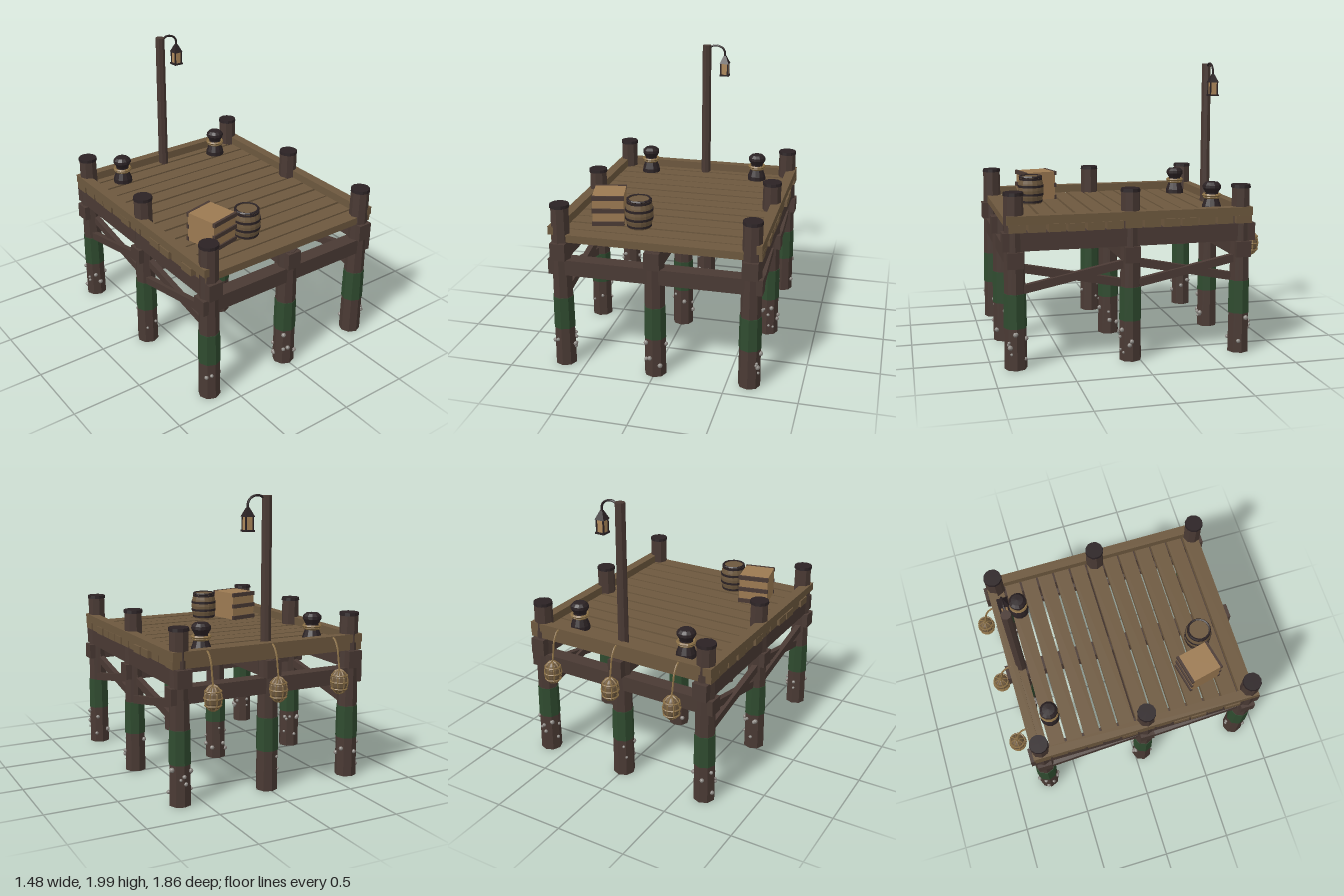
import * as THREE from 'three';

const mat = (name, color) => {
  const m = new THREE.MeshStandardMaterial({ color });
  m.name = name;
  return m;
};

export function createModel() {
  const root = new THREE.Group();
  root.name = 'dock';

  const postWood = mat('dark post wood', 0x4a3a34);
  const plankWood = mat('weathered plank wood', 0x6d583e);
  const crateWood = mat('pale crate wood', 0x9c7a52);
  const iron = mat('dark iron', 0x2b2224);
  const algae = mat('green algae', 0x2f4b2f);
  const rope = mat('tan rope', 0x8a6f45);
  const shell = mat('barnacle grey', 0x8b8782);
  const glass = mat('lantern glow', 0xb08a5c);

  let seed = 7;
  const rand = () => ((seed = (seed * 16807) % 2147483647) / 2147483647);
  const jitter = (a) => (rand() * 2 - 1) * a;

  // Adds a faceted mesh
  const add = (name, geo, material, x = 0, y = 0, z = 0, parent = root) => {
    const g = geo.index ? geo.toNonIndexed() : geo;
    g.computeVertexNormals();
    const m = new THREE.Mesh(g, material);
    m.name = name;
    m.position.set(x, y, z);
    parent.add(m);
    return m;
  };
  const group = (name, x, y, z, parent = root) => {
    const g = new THREE.Group();
    g.name = name;
    g.position.set(x, y, z);
    parent.add(g);
    return g;
  };
  const box = (w, h, d) => new THREE.BoxGeometry(w, h, d);
  const cyl = (rt, rb, h, n = 8) => new THREE.CylinderGeometry(rt, rb, h, n);
  const lathe = (pts, n) => new THREE.LatheGeometry(pts.map((p) => new THREE.Vector2(...p)), n);
  const ring = (r, t, n = 14) => new THREE.TorusGeometry(r, t, 5, n).rotateX(Math.PI / 2);
  const tube = (pts, r) => new THREE.TubeGeometry(
    new THREE.CatmullRomCurve3(pts.map((p) => new THREE.Vector3(...p))), 14, r, 6);

  const columns = [-0.65, 0, 0.65];
  const rows = [-0.72, 0.06, 0.84];
  const bottomR = 0.076;

  // Posts with algae bands, barnacles and caps
  for (const x of columns) for (const z of rows) {
    const post = group('post', x, 0, z);
    const h = x === 0 ? 0.915 : 1.16;
    const topR = x === 0 ? 0.067 : 0.064;
    add('postShaft', cyl(topR, bottomR, h), postWood, 0, h / 2, 0, post);
    add('algaeBand', cyl(0.074, 0.077, 0.23), algae, 0, 0.395, 0, post);
    if (x !== 0) add('postCap', cyl(0.066, 0.068, 0.022, 12), iron, 0, 1.163, 0, post);
    for (let i = 0; i < 9; i++) {
      const a = rand() * Math.PI * 2;
      const s = 0.009 + rand() * 0.009;
      add('barnacle', new THREE.IcosahedronGeometry(s, 1), shell,
        Math.sin(a) * 0.074, 0.06 + rand() * 0.19, Math.cos(a) * 0.074, post);
    }
  }

  // Long beams under the deck and cross beams below them
  for (const x of columns) add('longBeam', box(0.105, 0.12, 1.73), postWood, x, 0.852, 0.055);
  for (const z of rows) add('crossBeam', box(1.46, 0.108, 0.105), postWood, 0, 0.735, z);

  // Diagonal braces on both sides
  for (const x of [-0.65, 0.65]) for (const z of [-0.33, 0.45]) for (const s of [-1, 1]) {
    const brace = add('brace', box(0.04, 0.055, 0.78), postWood, x + s * 0.012, 0.6, z);
    brace.rotation.x = s * 0.198;
  }

  // Deck planks
  for (let i = 0; i < 13; i++) {
    const plank = add('plank', box(1.435 + jitter(0.015), 0.053, 0.112), plankWood,
      jitter(0.012), 0.941 + jitter(0.002), -0.721 + i * 0.1288);
    plank.rotation.y = jitter(0.002);
  }

  // Edge rails on the sides and back
  for (const x of [-0.685, 0.685]) add('sideRail', box(0.07, 0.058, 1.675), plankWood, x, 0.996, 0.055);
  add('backRail', box(1.32, 0.058, 0.065), plankWood, 0, 0.996, -0.75);

  // Lamp post with a curved arm and hanging lantern
  const lamp = group('lampPost', 0, 0, -0.69);
  add('lampPole', cyl(0.034, 0.037, 1.06), postWood, 0, 1.455, 0, lamp);
  add('lampArm', tube([[0.02, 1.965, 0], [0.05, 1.984, 0], [0.09, 1.984, 0],
    [0.125, 1.966, 0], [0.142, 1.935, 0], [0.142, 1.9, 0]], 0.008), iron, 0, 0, 0, lamp);
  const lantern = group('lantern', 0.142, 0, 0, lamp);
  add('lanternRoof', cyl(0.012, 0.05, 0.06, 4).rotateY(Math.PI / 4), iron, 0, 1.88, 0, lantern);
  add('lanternGlass', box(0.05, 0.09, 0.05), glass, 0, 1.807, 0, lantern);
  add('lanternBase', box(0.07, 0.012, 0.07), iron, 0, 1.76, 0, lantern);
  for (const x of [-0.026, 0.026]) for (const z of [-0.026, 0.026])
    add('lanternBar', box(0.009, 0.09, 0.009), iron, x, 1.807, z, lantern);

  // Mooring bollards with a rope turn
  for (const x of [-0.43, 0.43]) {
    const bollard = group('bollard', x, 0.967, -0.59);
    add('bollardBody', lathe([[0, 0], [0.07, 0], [0.068, 0.03], [0.046, 0.09], [0.044, 0.12],
      [0.066, 0.158], [0.064, 0.178], [0.045, 0.197], [0, 0.2]], 12), iron, 0, 0, 0, bollard);
    add('bollardRope', ring(0.058, 0.011), rope, 0, 0.107, 0, bollard);
    add('bollardRope', ring(0.052, 0.01), rope, 0, 0.092, 0, bollard);
  }

  // Barrel with iron hoops and a sunken lid
  const barrel = group('barrel', -0.17, 0.967, 0.605);
  add('barrelBody', lathe([[0, 0], [0.08, 0], [0.092, 0.05], [0.097, 0.1], [0.092, 0.15],
    [0.08, 0.2], [0.07, 0.2], [0.07, 0.188], [0, 0.188]], 16), plankWood, 0, 0, 0, barrel);
  for (const [y, r] of [[0.018, 0.086], [0.07, 0.097], [0.13, 0.097], [0.182, 0.086]])
    add('barrelHoop', cyl(r, r, 0.017, 16), iron, 0, y, 0, barrel).visible = true;
  add('barrelRim', ring(0.078, 0.009, 16), iron, 0, 0.198, 0, barrel);
  add('barrelLid', cyl(0.071, 0.071, 0.006, 16), plankWood, 0, 0.193, 0, barrel);

  // Crate with battens on front and back
  const crate = group('crate', -0.405, 0.967, 0.53);
  crate.rotation.y = 0.22;
  add('crateBody', box(0.215, 0.208, 0.23), crateWood, 0, 0.106, 0, crate);
  for (const z of [-0.117, 0.117]) for (const y of [0.015, 0.107, 0.197])
    add('crateBatten', box(0.222, 0.03, 0.018), postWood, 0, y, z, crate);

  // Net floats hung over the back edge
  for (const x of [-0.48, 0, 0.48]) {
    const float = group('netFloat', x, 0, -0.865);
    add('floatRope', tube([[0, 1.02, 0.1], [0, 1.005, 0.065], [0, 0.95, 0.03],
      [0, 0.88, 0.016], [0, 0.8, 0]], 0.007), rope, 0, 0, 0, float);
    add('floatBody', new THREE.SphereGeometry(0.058, 12, 8).scale(1, 1.42, 1), plankWood, 0, 0.727, 0, float);
    for (const [y, r] of [[0.68, 0.053], [0.727, 0.059], [0.773, 0.053]])
      add('floatNetRing', ring(r, 0.006), rope, 0, y, 0, float);
    for (let i = 0; i < 4; i++) {
      const strand = add('floatNetStrand', new THREE.TorusGeometry(0.059, 0.005, 4, 18).scale(1, 1.4, 1),
        rope, 0, 0.727, 0, float);
      strand.rotation.y = (i * Math.PI) / 4;
    }
  }

  return root;
}
